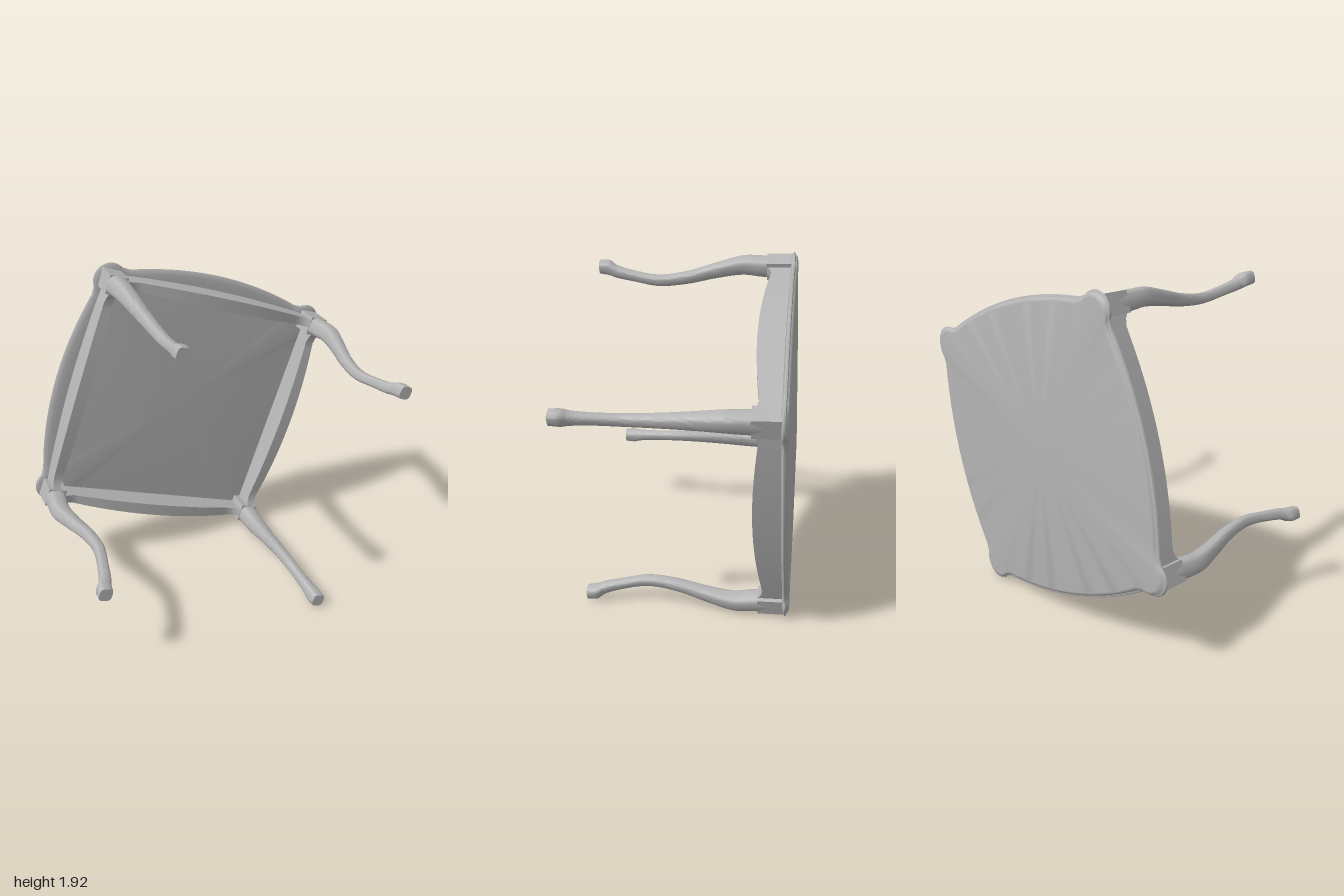
import * as THREE from 'three';
import { toCreasedNormals } from 'three/addons/utils/BufferGeometryUtils.js';

// Skin closed rings of [x, y, z] points and cap both ends
function loft(rings, crease = 0.6) {
  const n = rings[0].length;
  const pos = rings.flat(2);
  const index = [];
  for (let i = 0; i < rings.length - 1; i++) {
    for (let j = 0; j < n; j++) {
      const a = i * n + j, b = i * n + (j + 1) % n;
      index.push(a, a + n, b, b, a + n, b + n);
    }
  }
  [0, rings.length - 1].forEach((i, end) => {
    const centre = [0, 1, 2].map(k => rings[i].reduce((s, p) => s + p[k], 0) / n);
    const c = pos.length / 3;
    pos.push(...centre);
    for (let j = 0; j < n; j++) {
      const a = i * n + j, b = i * n + (j + 1) % n;
      if (end) index.push(c, b, a);
      else index.push(c, a, b);
    }
  });
  const geo = new THREE.BufferGeometry();
  geo.setAttribute('position', new THREE.Float32BufferAttribute(pos, 3));
  geo.setIndex(index);
  return toCreasedNormals(geo, crease);
}

// Tabletop outline: four bowed sides joined by round corner ears
function topOutline() {
  const side = [];
  for (let i = 0; i <= 20; i++) {
    const t = -0.57 + 1.14 * i / 20;
    side.push([0.832 - 0.075 * (t / 0.57) ** 2, t]);
  }
  for (let i = 0; i <= 14; i++) {
    const a = THREE.MathUtils.degToRad(-33 + 156 * i / 14);
    side.push([0.675 + 0.1 * Math.cos(a), 0.675 + 0.1 * Math.sin(a)]);
  }
  const points = [];
  for (let q = 0; q < 4; q++) {
    const c = Math.round(Math.cos(q * Math.PI / 2)), s = Math.round(Math.sin(q * Math.PI / 2));
    for (const [x, z] of side) points.push([x * c - z * s, x * s + z * c]);
  }
  return points;
}

// Moulded edge, from the underside to the top face: [inset, y]
function tabletopGeometry() {
  const outline = topOutline();
  const profile = [[0.06, -0.04], [0.03, -0.037], [0.008, -0.032], [0, -0.024], [0.003, -0.016],
    [0.014, -0.012], [0.018, -0.006], [0.026, -0.001], [0.034, 0]];
  return loft(profile.map(([inset, y]) =>
    outline.map(([x, z]) => [x * (1 - inset / 0.8), y, z * (1 - inset / 0.8)])));
}

// Curved leg: [offset along the diagonal, y, half width] from foot to top
function legGeometry() {
  const keys = [[0.685, -1.18, 0.037], [0.68, -1.12, 0.04], [0.665, -1.08, 0.034], [0.645, -0.97, 0.029],
    [0.627, -0.82, 0.03], [0.64, -0.65, 0.034], [0.67, -0.48, 0.041], [0.693, -0.32, 0.05],
    [0.688, -0.2, 0.055], [0.685, -0.06, 0.055]];
  const curve = new THREE.CatmullRomCurve3(keys.map(k => new THREE.Vector3(...k)));
  const round = v => Math.sign(v) * Math.abs(v) ** 0.6;
  const rings = curve.getPoints(45).map(p => {
    const ring = [];
    for (let j = 0; j < 20; j++) {
      const a = j / 20 * Math.PI * 2;
      ring.push([p.x + p.z * round(Math.cos(a)), p.y, p.x + p.z * round(Math.sin(a))]);
    }
    return ring;
  });
  return loft(rings, 0.9);
}

// Apron rail: bowed outer face, straight inner face, arched lower edge
function apronGeometry() {
  const rings = [];
  for (let i = 0; i <= 32; i++) {
    const u = -1 + 2 * i / 32;
    const outer = 0.715 + 0.03 * (1 - u * u);
    const fillet = Math.max(0, (Math.abs(u) - 0.85) / 0.15);
    const bottom = -0.135 - 0.055 * (1 - u * u) - 0.06 * fillet ** 2;
    rings.push([[u * 0.65, bottom, outer], [u * 0.65, -0.03, outer],
      [u * 0.65, -0.03, 0.67], [u * 0.65, bottom, 0.67]]);
  }
  return loft(rings);
}

export function createModel() {
  const group = new THREE.Group();
  group.name = 'tippedTable';
  const grey = new THREE.MeshStandardMaterial({ color: 0xb4b4b4 });
  grey.name = 'plain grey';

  const table = new THREE.Group();
  table.name = 'table';
  group.add(table);
  const add = (name, geometry, parent) => {
    const mesh = new THREE.Mesh(geometry, grey);
    mesh.name = name;
    parent.add(mesh);
    return mesh;
  };

  add('tabletop', tabletopGeometry(), table);

  // One leg, corner block and apron rail for each quarter turn
  const leg = legGeometry(), apron = apronGeometry();
  const block = new THREE.BoxGeometry(0.112, 0.15, 0.112);
  for (let q = 0; q < 4; q++) {
    const quarter = new THREE.Group();
    quarter.name = 'tableQuarter' + (q + 1);
    quarter.rotation.y = q * Math.PI / 2;
    add('leg', leg, quarter);
    add('cornerBlock', block, quarter).position.set(0.685, -0.105, 0.685);
    add('apron', apron, quarter);
    table.add(quarter);
  }

  // Tip the table so its top faces the back
  const up = new THREE.Vector3(0.142, 0.028, -0.989).normalize();
  const depth = new THREE.Vector3(0.937, -0.326, 0.125).cross(up).normalize();
  const across = new THREE.Vector3().crossVectors(up, depth);
  table.quaternion.setFromRotationMatrix(new THREE.Matrix4().makeBasis(across, up, depth));

  // Rest on the ground, centred
  table.updateMatrixWorld(true);
  const box = new THREE.Box3().setFromObject(table, true);
  const centre = box.getCenter(new THREE.Vector3());
  table.position.set(-centre.x, -box.min.y, -centre.z);
  return group;
}
